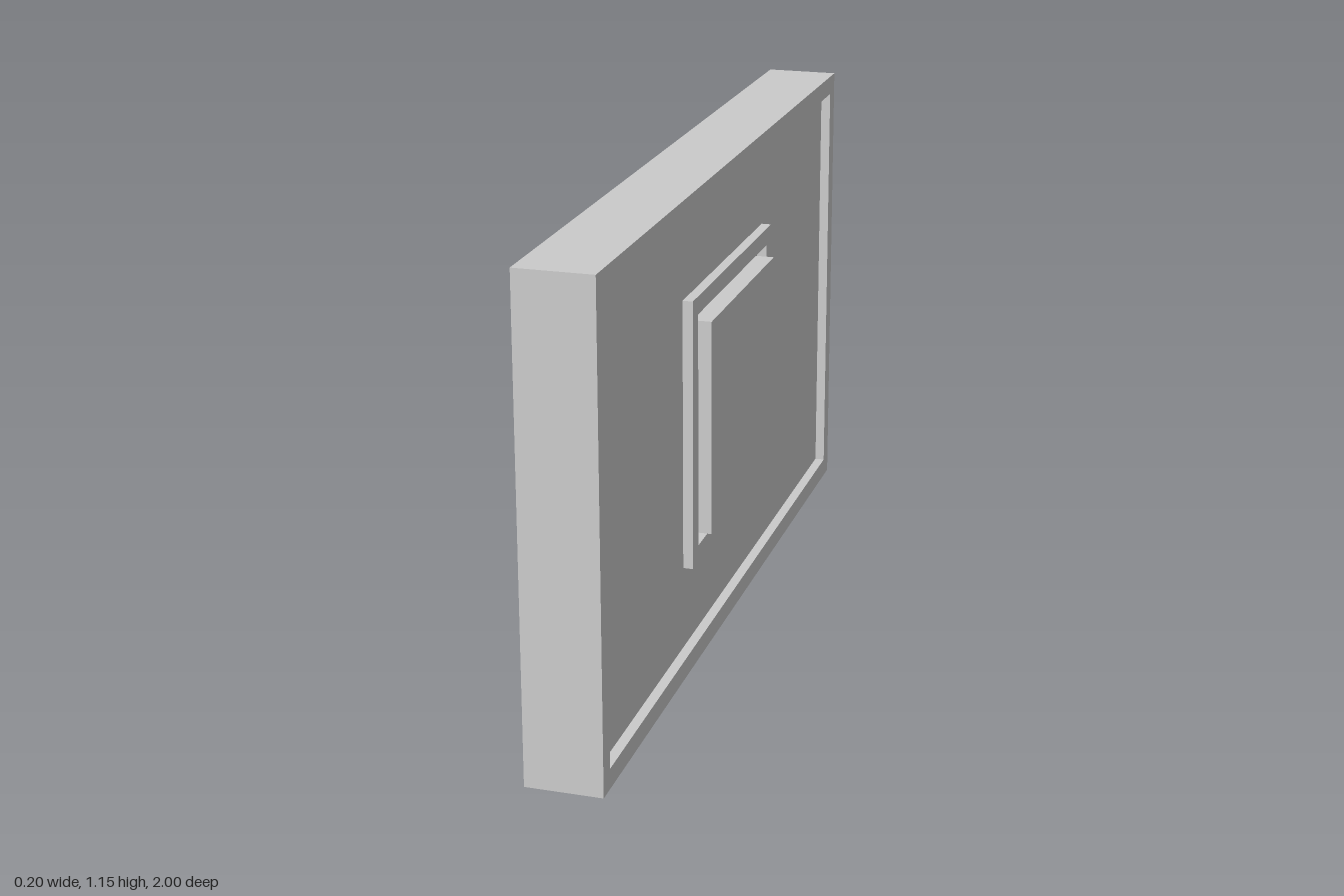
import * as THREE from 'three';

const W = 2, H = 1.15;            // length along z, height along y
const BACK = -0.102, FLOOR = 0.053, FACE = 0.077, TOP = 0.102;
const CY = 0.575;                 // height of the button centre

const material = new THREE.MeshStandardMaterial({ color: 0xcccccc, flatShading: true });

// Solid block between two x planes, w along z and h along y
function block(name, x0, x1, w, h) {
  const mesh = new THREE.Mesh(new THREE.BoxGeometry(x1 - x0, h, w), material);
  mesh.name = name;
  mesh.position.set((x0 + x1) / 2, CY, 0);
  return mesh;
}

function rectangle(PathType, w, h) {
  return new PathType([
    new THREE.Vector2(-w / 2, -h / 2), new THREE.Vector2(w / 2, -h / 2),
    new THREE.Vector2(w / 2, h / 2), new THREE.Vector2(-w / 2, h / 2),
  ]);
}

// Rectangular ring between two x planes, extruded towards +x
function ring(name, x0, x1, w, h, innerW, innerH) {
  const shape = rectangle(THREE.Shape, w, h);
  shape.holes.push(rectangle(THREE.Path, innerW, innerH));
  const geometry = new THREE.ExtrudeGeometry(shape, { depth: x1 - x0, bevelEnabled: false });
  geometry.rotateY(Math.PI / 2);
  const mesh = new THREE.Mesh(geometry, material);
  mesh.name = name;
  mesh.position.set(x0, CY, 0);
  return mesh;
}

export function createModel() {
  const group = new THREE.Group();
  group.name = 'wallButtonPanel';
  group.add(
    // Slab whose +x face is the recessed floor
    block('slab', BACK, FLOOR, W, H),
    // Raised border around the recess
    ring('rim', FLOOR, FACE, W, H, 1.91, 1.055),
    // Frame around the button, flush with the rim
    ring('buttonFrame', FLOOR, FACE, 0.68, 0.65, 0.595, 0.565),
    // Button standing proud of the frame
    block('button', FLOOR, TOP, 0.55, 0.52),
  );
  return group;
}
